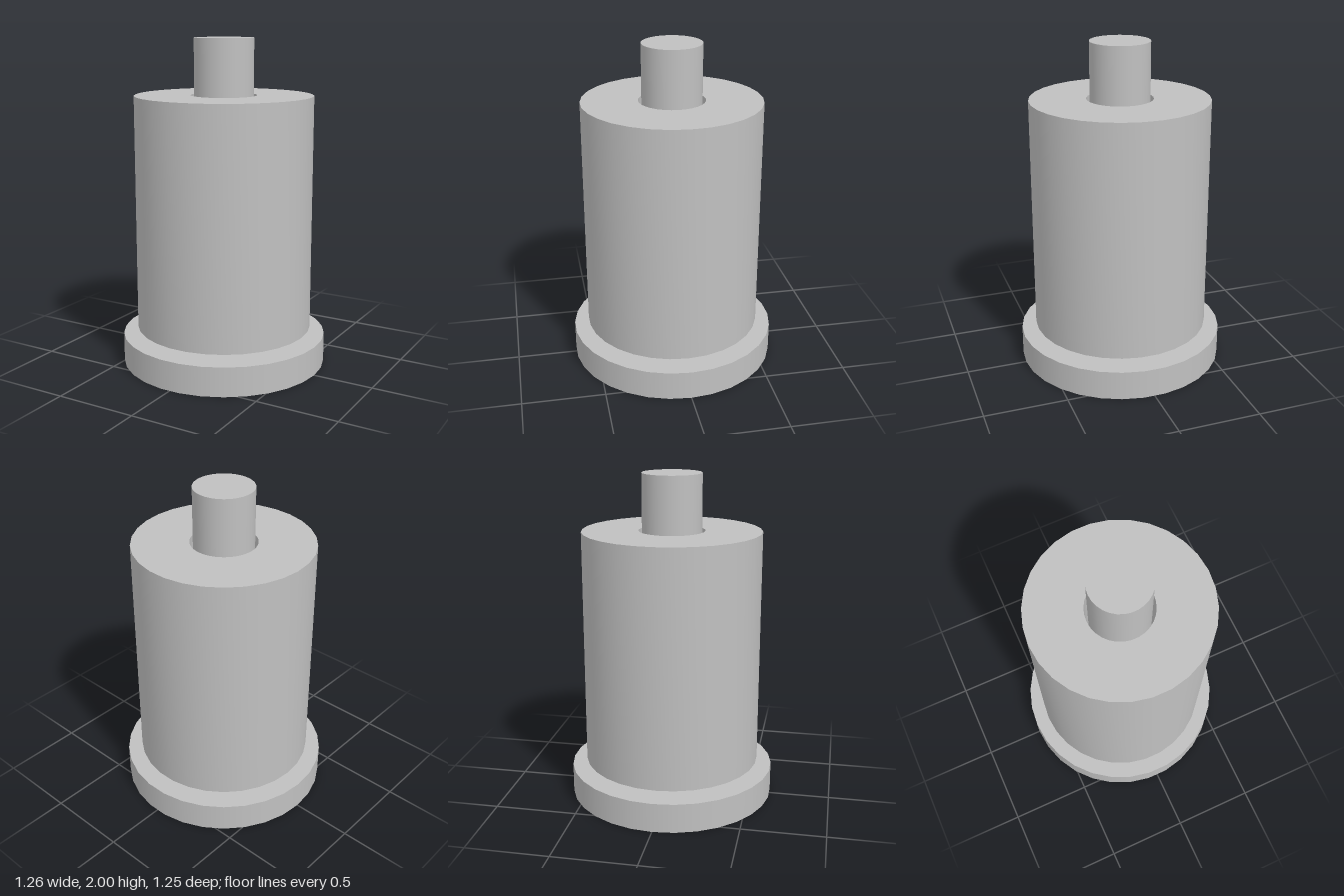
import * as THREE from 'three';
import { toCreasedNormals } from 'three/addons/utils/BufferGeometryUtils.js';

const SIDES = 30;
const START = Math.PI / 2; // puts a corner on the x axis

export function createModel() {
  const model = new THREE.Group();
  model.name = 'spindleAssembly';
  const grey = new THREE.MeshStandardMaterial({ color: 0xc0c0c0 });
  grey.name = 'grey metal';

  const add = (name, geometry) => {
    const mesh = new THREE.Mesh(geometry, grey);
    mesh.name = name;
    model.add(mesh);
  };
  // upright solid cylinder from y0 to y1
  const cylinder = (radius, y0, y1) =>
    new THREE.CylinderGeometry(radius, radius, y1 - y0, SIDES, 1, false, START)
      .translate(0, (y0 + y1) / 2, 0);

  // round foot and the rod standing on it
  add('base', cylinder(0.63, 0, 0.18));
  add('rod', cylinder(0.18, 0.18, 2));

  // thick sleeve with a through hole, floating just above the base
  const profile = [[0.2, 0.22], [0.54, 0.22], [0.54, 1.66], [0.2, 1.66], [0.2, 0.22]]
    .map(([r, y]) => new THREE.Vector2(r, y));
  add('sleeve', toCreasedNormals(new THREE.LatheGeometry(profile, SIDES, START), Math.PI / 6));

  return model;
}
